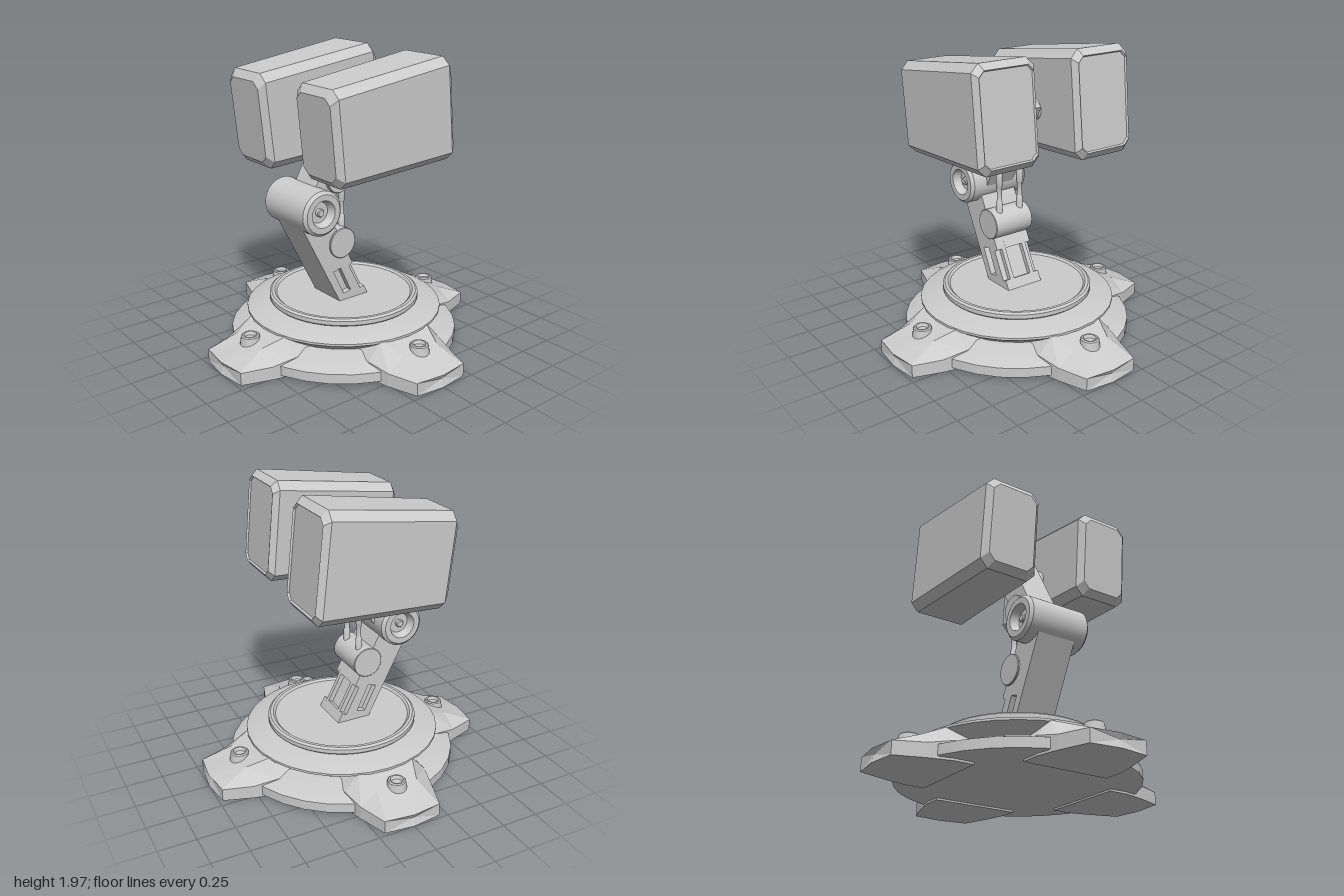
import * as THREE from 'three';
import { toCreasedNormals } from 'three/addons/utils/BufferGeometryUtils.js';

const smooth = new THREE.MeshStandardMaterial({ color: 0xcccccc });
const faceted = new THREE.MeshStandardMaterial({ color: 0xcccccc, flatShading: true });

function add(parent, name, geometry, material = smooth) {
  const mesh = new THREE.Mesh(geometry, material);
  mesh.name = name;
  parent.add(mesh);
  return mesh;
}

// Revolved profile, listed from the bottom centre around the outside to the top centre
function lathe(profile, segments) {
  const points = profile.map(([r, y]) => new THREE.Vector2(r, y));
  return toCreasedNormals(new THREE.LatheGeometry(points, segments), 0.5);
}

// Cylinder lying along z, with an optional bevel
function drum(radius, half, x, y, bevel = 0.004) {
  return lathe([[0, -half], [radius - bevel, -half], [radius, -half + bevel],
    [radius, half - bevel], [radius - bevel, half], [0, half]], 32).rotateX(Math.PI / 2).translate(x, y, 0);
}

// Flat side profile given thickness from z0 to z1
function plate(outline, z0, z1, hole) {
  const toPoints = list => list.map(([x, y]) => new THREE.Vector2(x, y));
  const shape = new THREE.Shape(toPoints(outline));
  if (hole) shape.holes.push(new THREE.Path(toPoints(hole)));
  return new THREE.ExtrudeGeometry(shape, { depth: z1 - z0, bevelEnabled: false }).translate(0, 0, z0);
}

// Skin over successive rings of points, closed at both ends
function loft(rings) {
  const pos = [];
  const tri = (...corners) => corners.forEach(p => pos.push(...p));
  const n = rings[0].length;
  const centre = ring => [0, 1, 2].map(k => ring.reduce((sum, p) => sum + p[k], 0) / n);
  const first = rings[0], last = rings[rings.length - 1];
  for (let j = 0; j < n; j++) {
    const k = (j + 1) % n;
    for (let i = 0; i < rings.length - 1; i++) {
      const a = rings[i], b = rings[i + 1];
      tri(a[j], a[k], b[k]);
      tri(a[j], b[k], b[j]);
    }
    tri(centre(first), first[k], first[j]);
    tri(centre(last), last[j], last[k]);
  }
  const geometry = new THREE.BufferGeometry();
  geometry.setAttribute('position', new THREE.Float32BufferAttribute(pos, 3));
  geometry.computeVertexNormals();
  return geometry;
}

// Octagonal pod cross-section facing along x
function podRing([x, h, w, c]) {
  return [[h, c - w], [h, w - c], [h - c, w], [c - h, w], [-h, w - c], [-h, c - w], [c - h, -w], [h - c, -w]]
    .map(([y, z]) => [x, y, z]);
}

// Foot cross-section at distance r: side half-width and height, top half-width and height
function footRing([r, s, ys, t, yt, bulge]) {
  return [[-s, 0], [0, 0, bulge], [s, 0], [s, ys], [t, yt], [0, yt, bulge], [-t, yt], [-s, ys]]
    .map(([x, y, dz = 0]) => [x, y, r + dz]);
}

function createBase() {
  const base = new THREE.Group();
  base.name = 'base';
  add(base, 'baseDisc', lathe([[0, 0.005], [0.77, 0.015], [0.78, 0.02], [0.78, 0.085], [0.6, 0.15], [0.57, 0.15],
    [0.67, 0.22], [0.67, 0.235], [0.53, 0.28], [0, 0.28]], 32));
  add(base, 'turntable', lathe([[0, 0.27], [0.5, 0.275], [0.515, 0.29], [0.515, 0.318], [0.5, 0.33],
    [0.48, 0.33], [0.465, 0.316], [0, 0.316]], 48));

  const foot = loft([
    [0.5, 0.3, 0.12, 0.2, 0.225, 0],
    [0.63, 0.3, 0.12, 0.2, 0.23, 0],
    [0.78, 0.265, 0.09, 0.145, 0.17, 0],
    [0.975, 0.2, 0.085, 0.195, 0.088, 0.025],
  ].map(footRing));
  const bolt = lathe([[0, 0.08], [0.075, 0.08], [0.068, 0.15], [0.06, 0.205], [0.052, 0.212], [0.042, 0.212],
    [0.034, 0.19], [0, 0.185]], 20).translate(0, 0, 0.772);
  for (let i = 0; i < 4; i++) {
    const corner = new THREE.Group();
    corner.name = 'footAssembly';
    corner.rotation.y = i * Math.PI / 2;
    add(corner, 'foot', foot, faceted);
    add(corner, 'bolt', bolt);
    base.add(corner);
  }
  return base;
}

function createArm() {
  const arm = new THREE.Group();
  arm.name = 'arm';

  // Lower arm: two full ribs, with notched layers between and outside them
  const left = [[-0.34, 1.0], [-0.47, 0.95], [-0.135, 0.3]];
  const full = [[0.105, 0.3], [-0.23, 0.95], ...left];
  const notched = [[0.105, 0.3], [0.064, 0.38], [0.034, 0.365], [-0.064, 0.555], [-0.034, 0.57], [-0.23, 0.95], ...left];
  const slot = [[-0.195, 0.54], [-0.135, 0.555], [-0.05, 0.375], [-0.11, 0.365]];
  add(arm, 'lowerArmCore', plate(notched, -0.07, 0.07));
  for (const s of [-1, 1]) {
    const span = (a, b) => s > 0 ? [a, b] : [-b, -a];
    add(arm, 'lowerArmRib', plate(full, ...span(0.07, 0.1)));
    add(arm, 'lowerArmSide', plate(notched, ...span(0.1, 0.14), slot));
  }

  // Elbow with dished ends and a small hub
  const end = [[0.02, 0.205], [0.026, 0.198], [0.026, 0.175], [0.07, 0.175], [0.085, 0.215], [0.09, 0.23],
    [0.13, 0.23], [0.15, 0.21]];
  const elbow = [[0, -0.205], ...end.map(([r, y]) => [r, -y]), ...[...end].reverse(), [0, 0.205]];
  add(arm, 'elbow', lathe(elbow, 36).rotateX(Math.PI / 2).translate(-0.34, 1.0, 0));

  add(arm, 'upperArm', plate([[-0.04, 1.655], [-0.36, 1.055], [-0.2, 0.97], [0.12, 1.57]], -0.11, 0.11));
  add(arm, 'lowerPivot', drum(0.105, 0.152, -0.125, 0.735));
  add(arm, 'upperPivot', drum(0.095, 0.137, -0.14, 1.175));
  add(arm, 'podAxle', drum(0.077, 0.19, -0.01, 1.525));

  // Piston rods between the two pivots
  const rod = lathe([[0, 0.74], [0.022, 0.74], [0.022, 0.9], [0.017, 0.91], [0.017, 1.0], [0.022, 1.01],
    [0.022, 1.1], [0.015, 1.12], [0.015, 1.17], [0, 1.17]], 12);
  for (const z of [-0.088, 0.083]) add(arm, 'pistonRod', rod).position.set(-0.085, 0, z);
  return arm;
}

export function createModel() {
  const model = new THREE.Group();
  model.name = 'twinPodTurret';
  model.add(createBase(), createArm());

  // Tapered pods with bevelled ends and a shallow recessed front panel
  const pod = loft([
    [-0.47, 0.27, 0.165, 0.045],
    [-0.43, 0.318, 0.203, 0.055],
    [0.435, 0.352, 0.23, 0.055],
    [0.475, 0.308, 0.202, 0.04],
    [0.462, 0.3, 0.195, 0.038],
  ].map(podRing));
  const right = add(model, 'rightPod', pod, faceted);
  right.position.set(-0.035, 1.578, -0.37);
  right.rotation.z = 0.105;
  const left = add(model, 'leftPod', pod, faceted);
  left.position.set(-0.04, 1.594, 0.37);
  left.rotation.z = 0.1;
  left.scale.set(0.98, 0.95, 0.98);
  return model;
}
